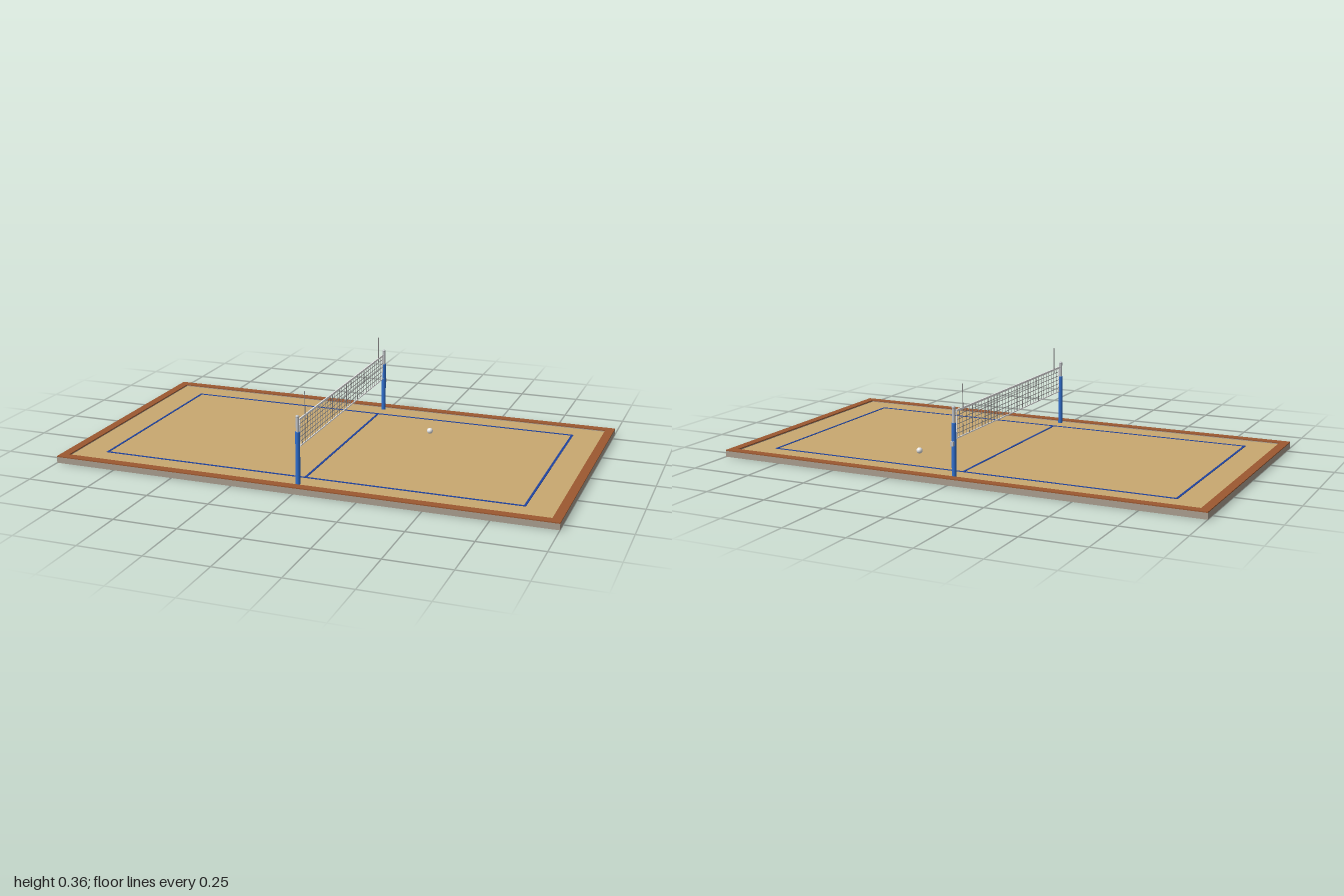
import * as THREE from 'three';

const material = (name, color) => {
  const m = new THREE.MeshStandardMaterial({ color });
  m.name = name;
  return m;
};

export function createModel() {
  const sand = material('sand', 0xc8a870);
  const wood = material('brown wood', 0x9c5830);
  const concrete = material('concrete', 0xaa9e90);
  const lineBlue = material('line blue', 0x1e429f);
  const padBlue = material('pad blue', 0x2f6fd0);
  const metal = material('metal', 0xbfc2c6);
  const white = material('white', 0xeeeeee);
  const cord = material('net cord', 0x8a8a8a);

  const model = new THREE.Group();
  model.name = 'beachVolleyballCourt';

  const add = (parent, name, geometry, mat, x, y, z) => {
    const mesh = new THREE.Mesh(geometry, mat);
    mesh.name = name;
    mesh.position.set(x, y, z);
    parent.add(mesh);
    return mesh;
  };
  const box = (parent, name, mat, w, h, d, x, y, z) =>
    add(parent, name, new THREE.BoxGeometry(w, h, d), mat, x, y, z);
  const rod = (parent, name, mat, r, y0, y1, x, z, sides = 16) =>
    add(parent, name, new THREE.CylinderGeometry(r, r, y1 - y0, sides), mat, x, (y0 + y1) / 2, z);
  const group = (name) => {
    const g = new THREE.Group();
    g.name = name;
    model.add(g);
    return g;
  };

  // Sand bed, slightly sunk between the kerbs
  const sandTop = 0.021;
  box(model, 'sandBed', sand, 1.93, 0.017, 1.036, 0, sandTop - 0.0085, 0);

  // Kerbs with wooden caps: long sides run full length, ends fit between
  const border = group('border');
  for (const s of [-1, 1]) {
    box(border, 'sideKerb', concrete, 2, 0.024, 0.035, 0, 0.012, s * 0.5355);
    box(border, 'sideCap', wood, 2, 0.004, 0.035, 0, 0.026, s * 0.5355);
    box(border, 'endKerb', concrete, 0.035, 0.024, 1.036, s * 0.9825, 0.012, 0);
    box(border, 'endCap', wood, 0.035, 0.004, 1.036, s * 0.9825, 0.026, 0);
  }

  // Court lines
  const lines = group('courtLines');
  const lineY = sandTop + 0.0005;
  for (const s of [-1, 1]) {
    box(lines, 'sideLine', lineBlue, 1.7, 0.002, 0.009, 0, lineY, s * 0.423);
    box(lines, 'endLine', lineBlue, 0.009, 0.002, 0.837, s * 0.8455, lineY, 0);
  }
  box(lines, 'centreLine', lineBlue, 0.009, 0.002, 0.837, 0, lineY, 0);

  // Posts with padding and rounded tops
  const postZ = 0.4955;
  for (const s of [-1, 1]) {
    const post = group(s > 0 ? 'frontPost' : 'backPost');
    rod(post, 'pole', metal, 0.0065, 0.001, 0.284, 0, s * postZ);
    rod(post, 'padding', padBlue, 0.009, 0.02, 0.226, 0, s * postZ);
    const cap = add(post, 'poleCap', new THREE.SphereGeometry(0.0075, 16, 10), metal, 0, 0.285, s * postZ);
    cap.scale.y = 0.8;
  }
  box(model, 'winch', metal, 0.013, 0.017, 0.015, 0, 0.149, -0.5085);

  // Net: bands, cord mesh and the cables tying it to the posts
  const net = group('net');
  const halfNet = 0.475, netBottom = 0.163, netTop = 0.268;
  box(net, 'topBand', white, 0.005, 0.008, halfNet * 2, 0, netTop, 0);
  box(net, 'bottomBand', white, 0.004, 0.004, halfNet * 2, 0, netBottom, 0);
  for (const s of [-1, 1]) {
    box(net, 'endBand', white, 0.004, netTop - netBottom, 0.004, 0, (netTop + netBottom) / 2, s * (halfNet - 0.002));
    for (const y of [netBottom, netTop]) {
      box(net, 'cable', metal, 0.002, 0.002, postZ - halfNet, 0, y, s * (postZ + halfNet) / 2);
    }
  }
  const columns = 36, rows = 6;
  for (let i = 1; i < columns; i++) {
    box(net, 'verticalCord', cord, 0.0018, netTop - netBottom, 0.0018,
      0, (netTop + netBottom) / 2, -halfNet + (2 * halfNet * i) / columns);
  }
  for (let j = 1; j < rows; j++) {
    box(net, 'horizontalCord', cord, 0.0018, 0.0018, halfNet * 2,
      0, netBottom + ((netTop - netBottom) * j) / rows, 0);
  }

  // Antennas above the side lines
  for (const s of [-1, 1]) rod(net, 'antenna', cord, 0.0018, 0.254, 0.361, 0, s * 0.422, 8);

  // Ball resting on the sand
  add(model, 'ball', new THREE.SphereGeometry(0.0122, 20, 14), white, 0.288, sandTop + 0.012, -0.244);

  return model;
}
